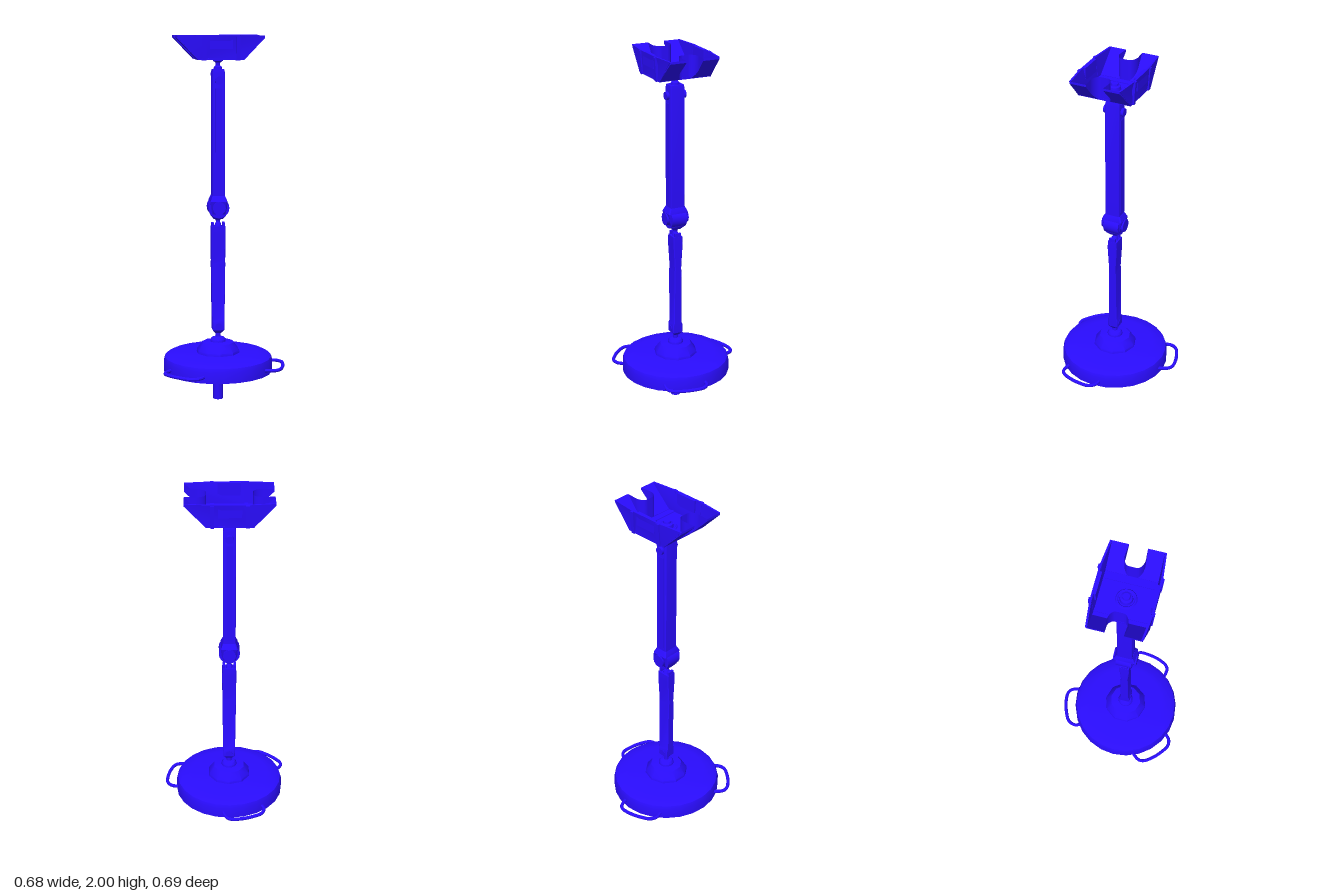
import * as THREE from 'three';
import { toCreasedNormals } from 'three/addons/utils/BufferGeometryUtils.js';

const material = new THREE.MeshStandardMaterial({ color: 0x2a0cff, side: THREE.DoubleSide });

export function createModel() {
  const model = new THREE.Group();
  model.name = 'standingLamp';
  const body = new THREE.Group();
  body.name = 'lampBody';
  body.position.set(-0.025, 0, 0.023); // the post axis
  model.add(body);

  const add = (name, geometry, parent = body) => {
    const mesh = new THREE.Mesh(toCreasedNormals(geometry, 0.6), material);
    mesh.name = name;
    parent.add(mesh);
    return mesh;
  };
  const lathe = (name, points, sides) =>
    add(name, new THREE.LatheGeometry(points.map(p => new THREE.Vector2(...p)), sides));
  const pin = (name, y, radius, length, sides = 16) =>
    add(name, new THREE.CylinderGeometry(radius, radius, length, sides).rotateX(Math.PI / 2).translate(0, y, 0));
  const polygon = points => new THREE.Shape(points.map(p => new THREE.Vector2(...p)));
  const extrude = (shape, depth) =>
    new THREE.ExtrudeGeometry(shape, { depth, bevelEnabled: false, curveSegments: 8 });
  // Moves every vertex by a rule
  const warp = (geometry, rule) => {
    const p = geometry.attributes.position;
    for (let i = 0; i < p.count; i++) p.setXYZ(i, ...rule(p.getX(i), p.getY(i), p.getZ(i)));
    geometry.computeVertexNormals();
    return geometry;
  };
  // Chamfered bar lofted through [y, halfWidth, halfDepth] sections
  const bar = (name, sections, chamfer) => {
    const positions = [], index = [];
    for (const [y, w, d] of sections) {
      const a = w - chamfer, b = d - chamfer;
      for (const [x, z] of [[w, -b], [w, b], [a, d], [-a, d], [-w, b], [-w, -b], [-a, -d], [a, -d]])
        positions.push(x, y, z);
    }
    for (let s = 0; s < sections.length - 1; s++)
      for (let i = 0; i < 8; i++) {
        const a = s * 8 + i, b = s * 8 + (i + 1) % 8;
        index.push(a, a + 8, b, b, a + 8, b + 8);
      }
    const top = (sections.length - 1) * 8;
    for (let i = 1; i < 7; i++) index.push(0, i, i + 1, top, top + i + 1, top + i);
    const g = new THREE.BufferGeometry();
    g.setAttribute('position', new THREE.Float32BufferAttribute(positions, 3));
    g.setIndex(index);
    g.computeVertexNormals();
    return add(name, g);
  };

  // Base: round disk with a shallow recessed underside
  lathe('baseDisk', [[0, 0.182], [0.27, 0.182], [0.278, 0.165], [0.301, 0.165], [0.301, 0.225],
    [0.294, 0.245], [0.272, 0.258], [0.22, 0.264], [0, 0.267]], 24);
  for (let i = 0; i < 6; i++) {
    const a = i * Math.PI / 3;
    add('undersidePad', new THREE.CylinderGeometry(0.058, 0.05, 0.012, 16)
      .translate(Math.cos(a) * 0.185, 0.177, Math.sin(a) * 0.185));
  }
  lathe('spike', [[0, 0], [0.027, 0], [0.027, 0.148], [0.06, 0.148], [0.06, 0.168], [0.07, 0.184]], 16);
  lathe('hub', [[0.121, 0.262], [0.119, 0.28], [0.088, 0.322], [0.05, 0.326], [0, 0.326]], 10);
  lathe('hubBall', [[0.043, 0.322], [0.042, 0.337], [0.034, 0.348], [0.014, 0.354], [0.014, 0.4]], 16);

  // Three carrying handles around the base, slimmer in the middle
  const handlePath = new THREE.CatmullRomCurve3([[0.28, -0.042], [0.328, -0.032], [0.354, 0.0], [0.354, 0.055],
    [0.34, 0.12], [0.314, 0.172], [0.288, 0.186], [0.225, 0.177]].map(([x, z]) => new THREE.Vector3(x, 0.197, z)));
  for (let i = 0; i < 3; i++)
    add('handle', new THREE.TubeGeometry(handlePath, 32, 0.0095, 8)).rotation.y = i * Math.PI * 2 / 3;

  // Lower arm: flat bar, thicker at both ends, with a forked top
  bar('lowerArm', [[0.375, 0.018, 0.014], [0.393, 0.032, 0.03], [0.44, 0.034, 0.03],
    [0.455, 0.034, 0.023], [0.76, 0.038, 0.022], [0.78, 0.038, 0.019],
    [0.93, 0.039, 0.028], [0.97, 0.038, 0.026]], 0.004);
  pin('lowerPin', 0.415, 0.018, 0.066);
  for (const side of [-1, 1])
    add('forkTine', new THREE.BoxGeometry(0.013, 0.03, 0.036).translate(side * 0.03, 0.975, 0));
  lathe('kneeNeck', [[0.02, 0.965], [0.016, 0.985], [0.011, 0.995], [0.013, 1.005], [0.024, 1.015], [0.024, 1.04]], 12);

  // Knee joint
  pin('kneeBarrel', 1.075, 0.057, 0.088, 20);
  pin('kneeCap', 1.075, 0.036, 0.13, 12);
  bar('kneeBlock', [[1.012, 0.026, 0.024], [1.03, 0.04, 0.042], [1.11, 0.046, 0.058], [1.14, 0.034, 0.044]], 0.006);

  // Upper arm with long side panels
  bar('upperArm', [[1.09, 0.034, 0.042], [1.8, 0.034, 0.042], [1.82, 0.03, 0.038]], 0.004);
  for (const side of [-1, 1])
    add('armPanel', new THREE.BoxGeometry(0.034, 0.56, 0.004).translate(0, 1.44, side * 0.0425));
  pin('upperPin', 1.762, 0.022, 0.115);
  lathe('headJoint', [[0.024, 1.815], [0.022, 1.832], [0.012, 1.84], [0.013, 1.855], [0.027, 1.865], [0.027, 1.876]], 16);

  // Head: open tray whose sloping ends are indented in the middle
  const head = new THREE.Group();
  head.name = 'head';
  body.add(head);
  const bottom = 1.873, height = 0.127;
  const slopeAt = x => Math.max(0, x - 0.121) / 0.112 * (height - 0.012);
  add('floor', new THREE.BoxGeometry(0.246, 0.01, 0.296).translate(0, bottom + 0.005, 0), head);

  // Plan of the indent, from one wing tip round to the other
  const indent = new THREE.Path().moveTo(0.233, 0.047).lineTo(0.17, 0.052);
  indent.quadraticCurveTo(0.136, 0.05, 0.121, 0.026);
  indent.lineTo(0.121, -0.026);
  indent.quadraticCurveTo(0.136, -0.05, 0.17, -0.052);
  indent.lineTo(0.233, -0.047);

  for (const side of [-1, 1]) {
    // Upright wall following the indent, standing on the slope
    const indentWall = warp(new THREE.PlaneGeometry(1, 1, 40, 1), (u, v) => {
      const p = indent.getPoint(u + 0.5);
      return [p.x, bottom + THREE.MathUtils.lerp(slopeAt(p.x), height, v + 0.5), p.y];
    });
    add('indentWall', indentWall, head).rotation.y = side < 0 ? Math.PI : 0;

    for (const end of [-1, 1]) {
      // Sloping wing, drawn in plan and lifted along its length
      const wing = polygon([[0.121, 0.148], [0.121, 0.026]]);
      wing.quadraticCurveTo(0.136, 0.05, 0.17, 0.052);
      wing.lineTo(0.233, 0.047);
      wing.lineTo(0.233, 0.139);
      const g = warp(extrude(wing, 0.012), (x, z, t) => [x, bottom + slopeAt(x) + t, z]);
      add('wing', g, head).scale.set(side, 1, end);
    }

    // Long wall, leaning outwards and bowed in towards the wing tips
    const wall = polygon([[-0.122, 0], [0.122, 0], [0.233, height], [0.09, height], [-0.09, height], [-0.233, height]]);
    add('longWall', warp(extrude(wall, 0.01), (x, y, t) =>
      [x, bottom + y, 0.138 + y * 0.07 + t - Math.max(0, Math.abs(x) - 0.122) * 0.14]), head).scale.z = side;
    add('wallTab', new THREE.BoxGeometry(0.122, 0.07, 0.02).translate(0, 1.965, side * 0.145), head);

    // Strap round the tray
    const x = side * 0.09;
    add('strapFloor', new THREE.BoxGeometry(0.02, 0.016, 0.296).translate(x, bottom + 0.006, 0), head);
    for (const end of [-1, 1])
      add('strapSide', new THREE.BoxGeometry(0.02, height, 0.018)
        .rotateX(end * 0.07).translate(x, bottom + height / 2 - 0.001, end * 0.15), head);
  }
  // Ring and socket in the tray floor
  lathe('socket', [[0.056, 1.881], [0.05, 1.889], [0.044, 1.889], [0.04, 1.884], [0.034, 1.884], [0.031, 1.903],
    [0.02, 1.908], [0.018, 1.918], [0, 1.918]], 20);

  return model;
}
